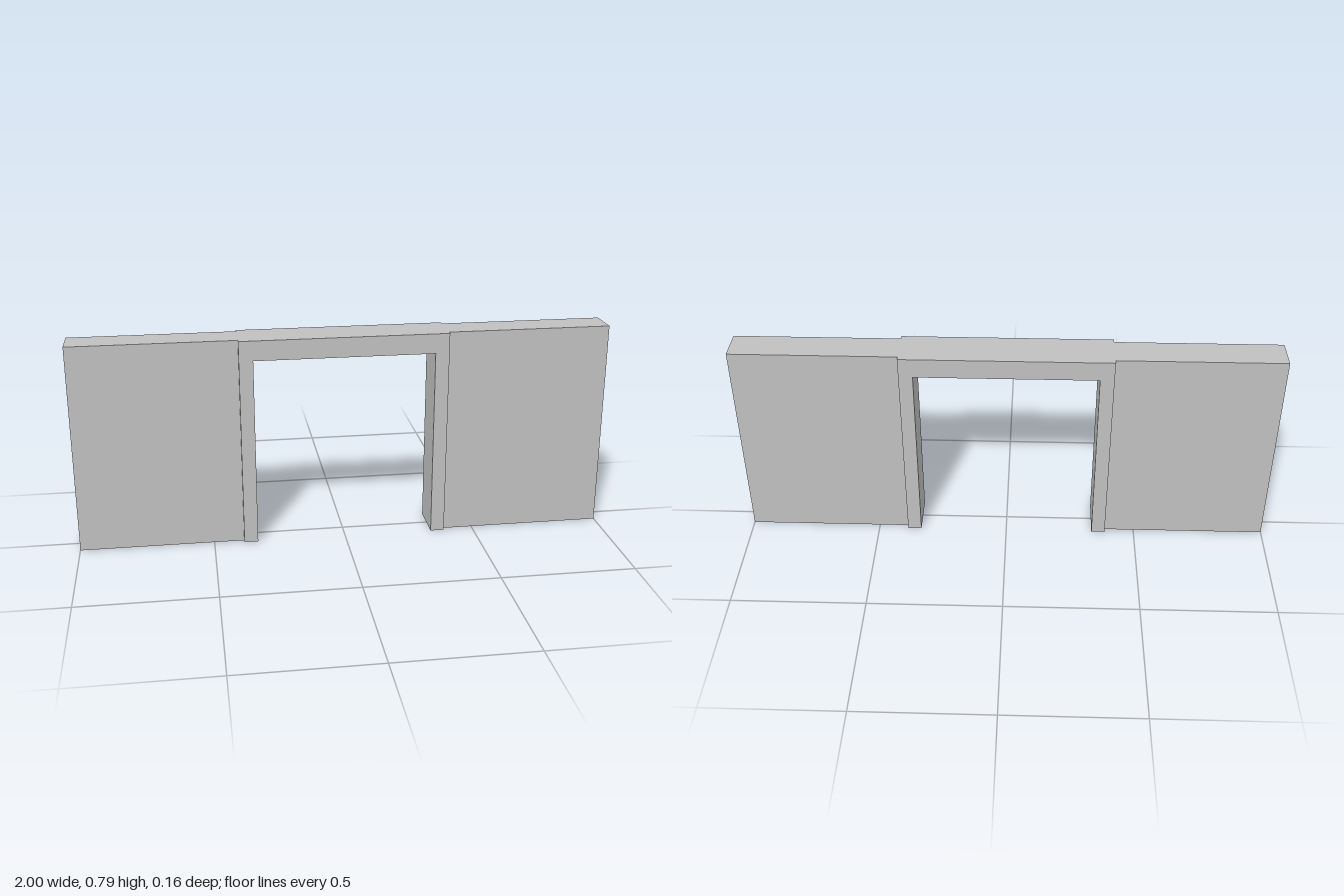
import * as THREE from 'three';

const HEIGHT = 0.79;
const FRAME_X = 0.387, OPEN_X = 0.335, OPEN_Y = 0.715;
const FRAME_DEPTH = 0.157, WALL_DEPTH = 0.124;

export function createModel() {
  const group = new THREE.Group();
  const plaster = new THREE.MeshStandardMaterial({ color: 0xc0c0c0 });
  plaster.name = 'plaster grey';

  const add = (name, geometry) => {
    const mesh = new THREE.Mesh(geometry, plaster);
    mesh.name = name;
    group.add(mesh);
    return mesh;
  };

  // Door frame: two jambs and a lintel in one outline, slightly thicker than the wall
  const outline = new THREE.Shape([
    [-FRAME_X, 0], [-OPEN_X, 0], [-OPEN_X, OPEN_Y], [OPEN_X, OPEN_Y],
    [OPEN_X, 0], [FRAME_X, 0], [FRAME_X, HEIGHT], [-FRAME_X, HEIGHT],
  ].map(([x, y]) => new THREE.Vector2(x, y)));
  const frame = new THREE.ExtrudeGeometry(outline, { depth: FRAME_DEPTH, bevelEnabled: false });
  add('doorFrame', frame.translate(0, 0, -FRAME_DEPTH / 2));

  // Wall panels on both sides of the frame
  const width = 1 - FRAME_X;
  for (const [name, side] of [['leftWall', 1], ['rightWall', -1]]) {
    const wall = add(name, new THREE.BoxGeometry(width, HEIGHT, WALL_DEPTH));
    wall.position.set(side * (FRAME_X + width / 2), HEIGHT / 2, 0);
  }
  return group;
}
